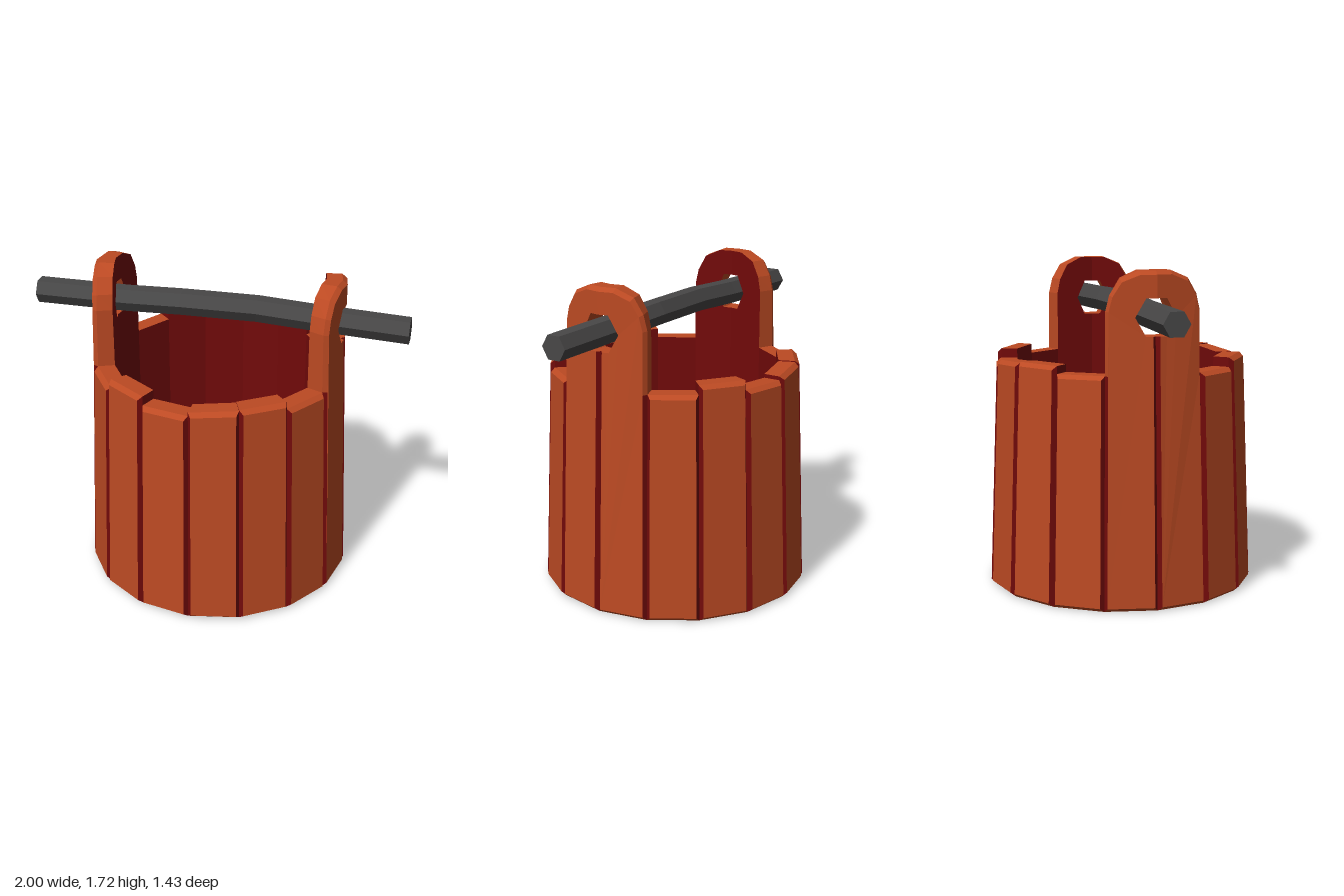
import * as THREE from 'three';

const STEP = Math.PI / 8;      // sixteen staves
const INNER = 0.56;            // inside radius of the wall
const WIDTH = 0.265;           // nominal stave width, used for bevel insets
const INSET = { wood: 0.02, gap: 0.018, hole: 0, seam: 0 };

const outerRadius = (y) => Math.max(0.667, 0.722 - 0.04 * y);

// Shrinks a counter-clockwise outline by the inset of each edge
function insetOutline(pts) {
  const n = pts.length;
  const line = (i) => {
    const a = pts[i], b = pts[(i + 1) % n];
    const dx = (b[0] - a[0]) * WIDTH, dy = b[1] - a[1], l = Math.hypot(dx, dy);
    return { nx: -dy / l, ny: dx / l, d: INSET[a[2]] };
  };
  return pts.map((p, i) => {
    const e = line((i + n - 1) % n), f = line(i);
    const det = e.nx * f.ny - e.ny * f.nx;
    let ox = f.nx * f.d, oy = f.ny * f.d;
    if (Math.abs(det) > 0.05) {
      ox = (e.d * f.ny - f.d * e.ny) / det;
      oy = (e.nx * f.d - f.nx * e.d) / det;
    }
    return [p[0] + ox / WIDTH, p[1] + oy];
  });
}

// One stave from its outline: [across 0..1, height, kind of the edge to the next point]
function makeStave(k, pts, materials) {
  const t0 = k * STEP, t1 = t0 + STEP;
  const place = ([u, y], r) => [
    r * (Math.sin(t0) * (1 - u) + Math.sin(t1) * u), y,
    r * (Math.cos(t0) * (1 - u) + Math.cos(t1) * u)];
  const front = insetOutline(pts);
  const A = pts.map((p) => place(p, INNER));
  const B = pts.map((p) => place(p, outerRadius(p[1]) - 0.025));
  const C = front.map((p) => place(p, outerRadius(p[1])));
  const faces = [[], []];      // wood, dark red
  const quad = (list, a, b, c, d) => list.push(...a, ...b, ...c, ...a, ...c, ...d);
  pts.forEach((p, i) => {
    if (p[2] === 'seam') return;
    const j = (i + 1) % pts.length, list = faces[p[2] === 'gap' ? 1 : 0];
    quad(list, A[i], A[j], B[j], B[i]);
    quad(list, B[i], B[j], C[j], C[i]);
  });
  const tris = (o) => THREE.ShapeUtils.triangulateShape(o.map((p) => new THREE.Vector2(p[0] * WIDTH, p[1])), []);
  tris(front).forEach(([a, b, c]) => faces[0].push(...C[a], ...C[b], ...C[c]));
  tris(pts).forEach(([a, b, c]) => faces[1].push(...A[a], ...A[c], ...A[b]));

  const geo = new THREE.BufferGeometry();
  geo.setAttribute('position', new THREE.Float32BufferAttribute([...faces[0], ...faces[1]], 3));
  geo.addGroup(0, faces[0].length / 3, 0);
  geo.addGroup(faces[0].length / 3, faces[1].length / 3, 1);
  geo.computeVertexNormals();
  return new THREE.Mesh(geo, materials);
}

// Mirrors an outline left to right, keeping its winding and edge kinds
function mirrorOutline(pts) {
  const n = pts.length;
  return pts.map((_, i) => {
    const p = pts[n - 1 - i], e = pts[(2 * n - 2 - i) % n];
    return [1 - p[0], p[1], e[2]];
  });
}

export function createModel() {
  const model = new THREE.Group();
  model.name = 'bucket';
  const material = (name, color) => {
    const m = new THREE.MeshStandardMaterial({ color });
    m.name = name;
    return m;
  };
  const wood = material('orange wood', 0xbc4a23);
  const red = material('dark red wood', 0x720a0a);
  const floorRed = material('deep red floor', 0x3e0d0f);
  const iron = material('dark grey', 0x484747);

  // Half of a tall ear, from the middle groove outward, with half a hexagonal hole
  const halfEar = [
    [0, 0, 'wood'], [1, 0, 'gap'], [1, 1.2, 'wood'], [1, 1.52, 'wood'], [0.92, 1.6, 'wood'],
    [0.72, 1.68, 'wood'], [0.33, 1.72, 'wood'], [0, 1.72, 'seam'],
    [0, 1.585, 'hole'], [0.21, 1.585, 'hole'], [0.42, 1.49, 'hole'], [0.21, 1.395, 'hole'], [0, 1.395, 'gap'],
  ];

  // Staves: start and end height of each top, repeated on the opposite side
  const tops = [[1.22, 1.235], [1.24, 1.24], [1.2, 1.2], null, null, [1.2, 1.2], [1.25, 1.25], [1.2, 1.2]];
  for (let k = 0; k < 16; k++) {
    const top = tops[k % 8];
    const outline = top
      ? [[0, 0, 'wood'], [1, 0, 'gap'], [1, top[1], 'wood'], [0, top[0], 'gap']]
      : k % 8 === 4 ? halfEar : mirrorOutline(halfEar);
    const stave = makeStave(k, outline, [wood, red]);
    stave.name = top ? 'stave' : 'earHalf';
    model.add(stave);
  }

  // Floor inside and base underneath
  const disc = (name, mat, y, turn) => {
    const mesh = new THREE.Mesh(new THREE.CircleGeometry(0.57, 16).rotateX(turn), mat);
    mesh.position.y = y;
    mesh.name = name;
    model.add(mesh);
  };
  disc('floor', floorRed, 0.04, -Math.PI / 2);
  disc('base', wood, 0, Math.PI / 2);

  // Slightly crooked hexagonal handle bar
  const path = [[-1, 1.49, -0.01], [-0.5, 1.497, 0], [-0.2, 1.51, 0.004],
    [0.2, 1.51, -0.008], [0.5, 1.498, 0], [1, 1.484, 0.01]];
  const bar = new THREE.CylinderGeometry(0.07, 0.07, 2, 6, 5).rotateZ(-Math.PI / 2).toNonIndexed();
  const pos = bar.attributes.position;
  for (let i = 0; i < pos.count; i++) {
    const [x, y, z] = path[Math.round((pos.getX(i) + 1) * 2.5)];
    pos.setXYZ(i, x, pos.getY(i) + y, pos.getZ(i) + z);
  }
  bar.computeVertexNormals();
  const handle = new THREE.Mesh(bar, iron);
  handle.name = 'handleBar';
  model.add(handle);

  return model;
}
